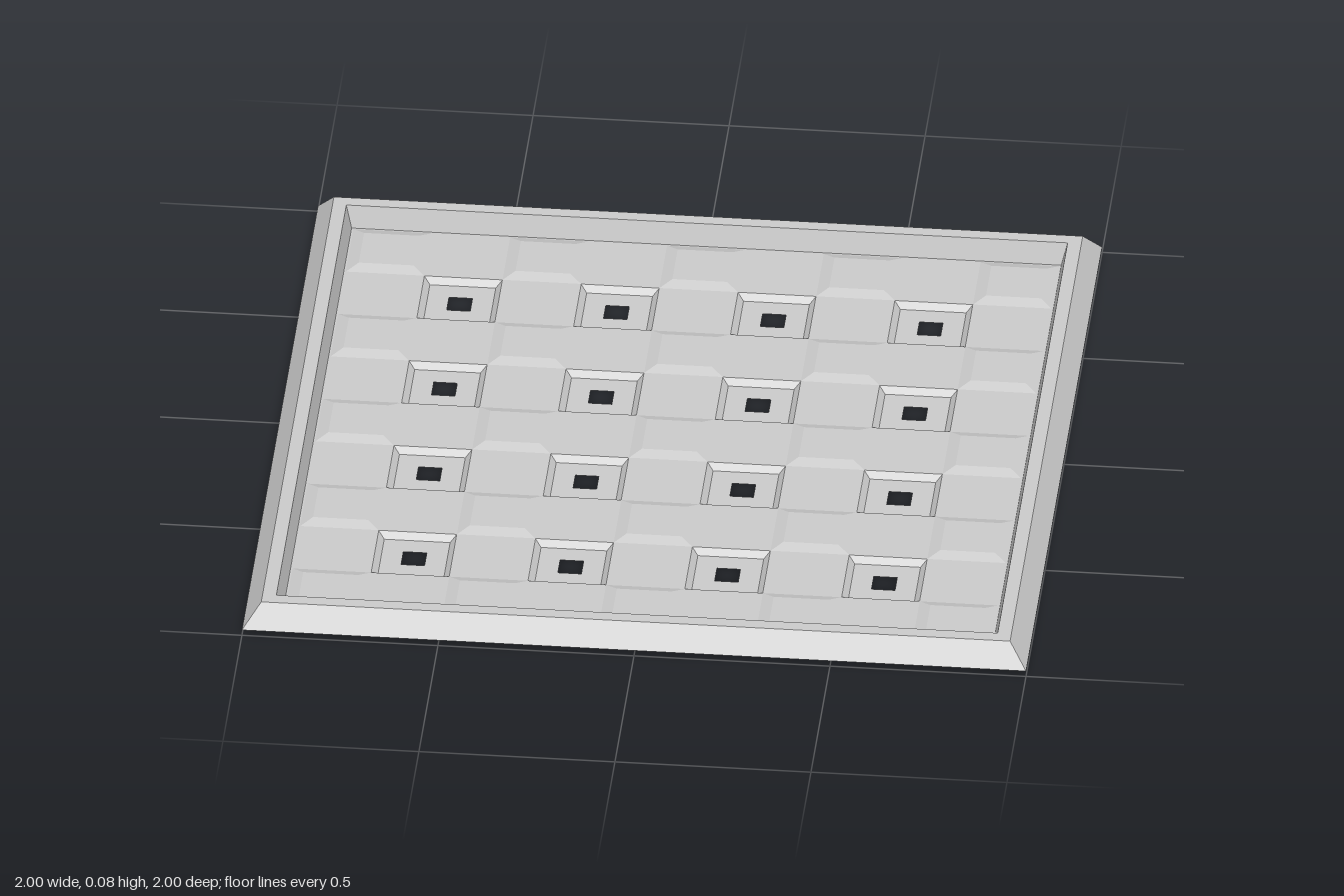
import * as THREE from 'three';

const FLOOR = 0.016; // height of the flat sheet and of the frame's lower edge
const PITCH = 0.2; // the sheet is a 9 x 9 grid of cells

const material = new THREE.MeshStandardMaterial({
  color: 0xcccccc,
  flatShading: true,
  side: THREE.DoubleSide,
});

// Four-sided lathe: a profile of [half width, y] swept round a square
function squareLoft(profile) {
  const points = profile.map(([half, y]) => new THREE.Vector2(half * Math.SQRT2, y));
  return new THREE.LatheGeometry(points, 4, Math.PI / 4).toNonIndexed();
}

function part(name, geometry, x = 0, z = 0) {
  const mesh = new THREE.Mesh(geometry, material);
  mesh.name = name;
  mesh.position.set(x, 0, z);
  return mesh;
}

function squarePath(path, x, y, half) {
  path.moveTo(x - half, y - half);
  path.lineTo(x + half, y - half);
  path.lineTo(x + half, y + half);
  path.lineTo(x - half, y + half);
  path.closePath();
  return path;
}

export function createModel() {
  const group = new THREE.Group();
  group.name = 'studdedTray';

  // Hollow raised border, open underneath
  group.add(part('frame', squareLoft([[1, FLOOR], [0.955, 0.075], [0.92, 0.075], [0.905, FLOOR]])));

  // Raised pads on even cells, drained pockets on odd cells
  const padGeometry = squareLoft([[0.1, FLOOR], [0.07, FLOOR + 0.01], [0, FLOOR + 0.01]]);
  const pocketGeometry = squareLoft([[0.1, FLOOR], [0.084, 0], [0.03, 0]]);
  const pads = new THREE.Group();
  pads.name = 'raisedPads';
  const pockets = new THREE.Group();
  pockets.name = 'drainPockets';
  const sheet = squarePath(new THREE.Shape(), 0, 0, 0.905);

  for (let i = 0; i < 9; i++) {
    for (let j = 0; j < 9; j++) {
      if (i % 2 !== j % 2) continue;
      const x = (i - 4) * PITCH;
      const z = (j - 4) * PITCH;
      if (i % 2 === 0) pads.add(part('pad', padGeometry, x, z));
      else pockets.add(part('pocket', pocketGeometry, x, z));
      // Opening in the sheet, a hair small so that neighbouring corners stay apart
      sheet.holes.push(squarePath(new THREE.Path(), x, -z, 0.0995));
    }
  }

  // Flat sheet between the pads and pockets
  const sheetGeometry = new THREE.ShapeGeometry(sheet);
  sheetGeometry.rotateX(-Math.PI / 2);
  sheetGeometry.translate(0, FLOOR, 0);
  group.add(part('sheet', sheetGeometry), pads, pockets);
  return group;
}
